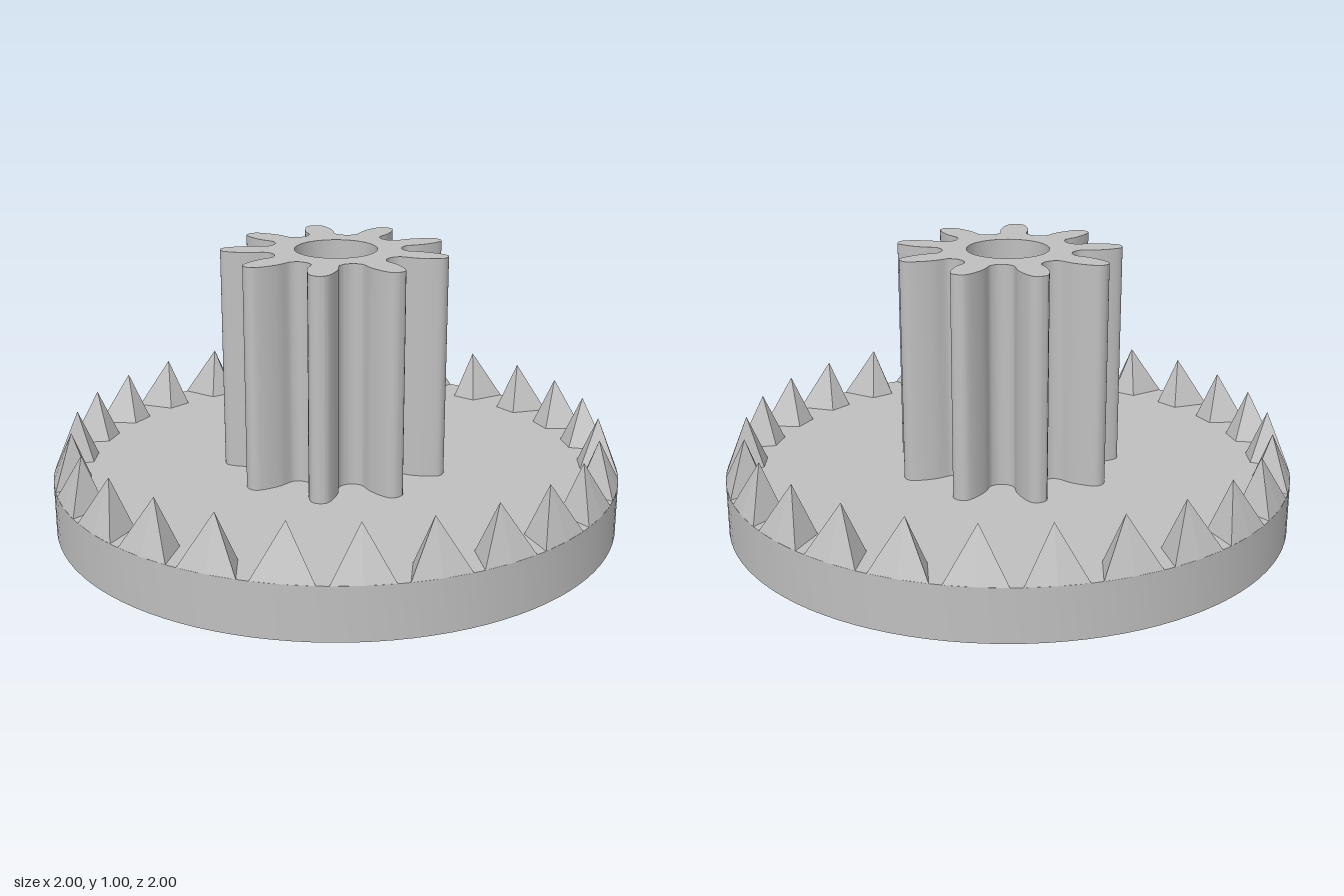
import * as THREE from 'three';
import { toCreasedNormals } from 'three/addons/utils/BufferGeometryUtils.js';

const BORE = 0.143, FACE_Y = 0.22;

export function createModel() {
  const model = new THREE.Group();
  model.name = 'crownGearWithPinion';
  const grey = new THREE.MeshStandardMaterial({ color: 0xbfbfbf });
  grey.name = 'plain grey';

  const add = (name, geometry, parent = model) => {
    const mesh = new THREE.Mesh(geometry, grey);
    mesh.name = name;
    parent.add(mesh);
    return mesh;
  };

  // Disc with its small lower hub and the bore, turned as one closed profile
  const profile = [
    [BORE, 0], [0.275, 0], [0.275, 0.035], [1, 0.035],
    [1, FACE_Y], [BORE, FACE_Y], [BORE, 0],
  ].map(([r, y]) => new THREE.Vector2(r, y));
  add('disc', toCreasedNormals(new THREE.LatheGeometry(profile, 104), 0.5));

  // Pinion: half a tooth as [radius, angle from the tooth centre], mirrored and repeated
  const PINION_TEETH = 9, pitch = (Math.PI * 2) / PINION_TEETH;
  const half = [
    [0.394, 0.04], [0.385, 0.075], [0.36, 0.11], [0.33, 0.142], [0.3, 0.168],
    [0.275, 0.176], [0.25, 0.185], [0.235, 0.235], [0.227, 0.3],
  ];
  const tooth = [
    ...half.map(([r, a]) => [r, -a]).reverse(),
    [0.397, 0],
    ...half,
  ];
  const outline = [];
  for (let i = 0; i < PINION_TEETH; i++) {
    for (const [r, a] of tooth) {
      const t = Math.PI / 2 + i * pitch + a;
      outline.push(new THREE.Vector2(r * Math.cos(t), r * Math.sin(t)));
    }
  }
  outline.push(outline[0].clone());
  const smooth = new THREE.SplineCurve(outline).getPoints((outline.length - 1) * 2);
  smooth.pop();
  const section = new THREE.Shape(smooth);
  section.holes.push(new THREE.Path().absarc(0, 0, BORE, 0, Math.PI * 2, true));
  const pinion = new THREE.ExtrudeGeometry(section, {
    depth: 1 - FACE_Y, bevelEnabled: false, curveSegments: 48,
  });
  pinion.rotateX(-Math.PI / 2).translate(0, FACE_Y, 0);
  add('pinion', toCreasedNormals(pinion, 0.6));

  // Crown tooth: leaning pyramid, wide at the rim and narrow inside
  const CROWN_TEETH = 26, a = 0.101;
  const left = [-Math.sin(a), FACE_Y, Math.cos(a)];
  const right = [Math.sin(a), FACE_Y, Math.cos(a)];
  const rim = [0, FACE_Y, 1];
  const innerLeft = [-0.045, FACE_Y, 0.87];
  const innerRight = [0.045, FACE_Y, 0.87];
  const apex = [0, 0.395, 0.93];
  const base = [left, rim, right, innerRight, innerLeft];
  const corners = base.flatMap((p, i) => [...p, ...base[(i + 1) % base.length], ...apex]);
  const crownTooth = new THREE.BufferGeometry();
  crownTooth.setAttribute('position', new THREE.Float32BufferAttribute(corners, 3));
  crownTooth.computeVertexNormals();

  const crown = new THREE.Group();
  crown.name = 'crownTeeth';
  model.add(crown);
  for (let i = 0; i < CROWN_TEETH; i++) {
    add('crownTooth', crownTooth, crown).rotation.y = 0.091 + (i * Math.PI * 2) / CROWN_TEETH;
  }
  return model;
}
